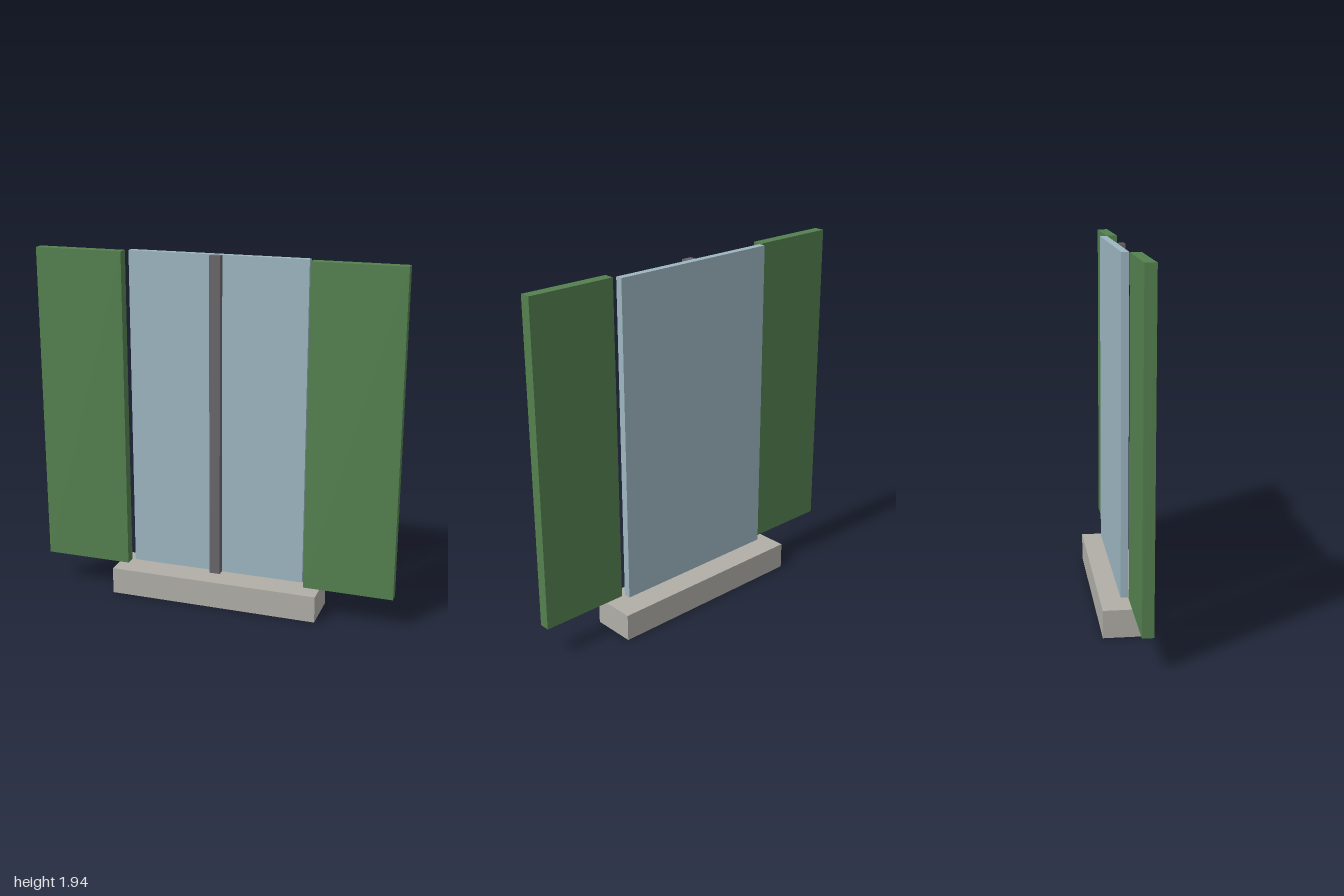
import * as THREE from 'three';

const material = (name, color) => {
  const m = new THREE.MeshStandardMaterial({ color });
  m.name = name;
  return m;
};

export function createModel() {
  const glass = material('pale blue glass', 0x9db6c1);
  const green = material('green paint', 0x54804f);
  const stone = material('grey stone', 0xb0aea7);
  const metal = material('dark grey frame', 0x69666a);

  const group = new THREE.Group();
  group.name = 'shutteredWindow';

  // Box given by its size and the position of its bottom centre
  const box = (name, mat, w, h, d, x, y, z) => {
    const mesh = new THREE.Mesh(new THREE.BoxGeometry(w, h, d), mat);
    mesh.name = name;
    mesh.position.set(x, y + h / 2, z);
    group.add(mesh);
  };

  const bottom = 0.176, height = 1.764;

  // Sill, pane and central mullion
  box('sill', stone, 1.176, 0.149, 0.245, 0, 0, 0);
  box('pane', glass, 0.98, height, 0.0392, 0, bottom, 0);
  box('mullion', metal, 0.059, height, 0.0392, 0, bottom, 0.0392);

  // Open shutters on both sides
  for (const [name, side] of [['leftShutter', 1], ['rightShutter', -1]]) {
    box(name, green, 0.49, height, 0.0588, side * 0.755, bottom, 0.049);
  }
  return group;
}
